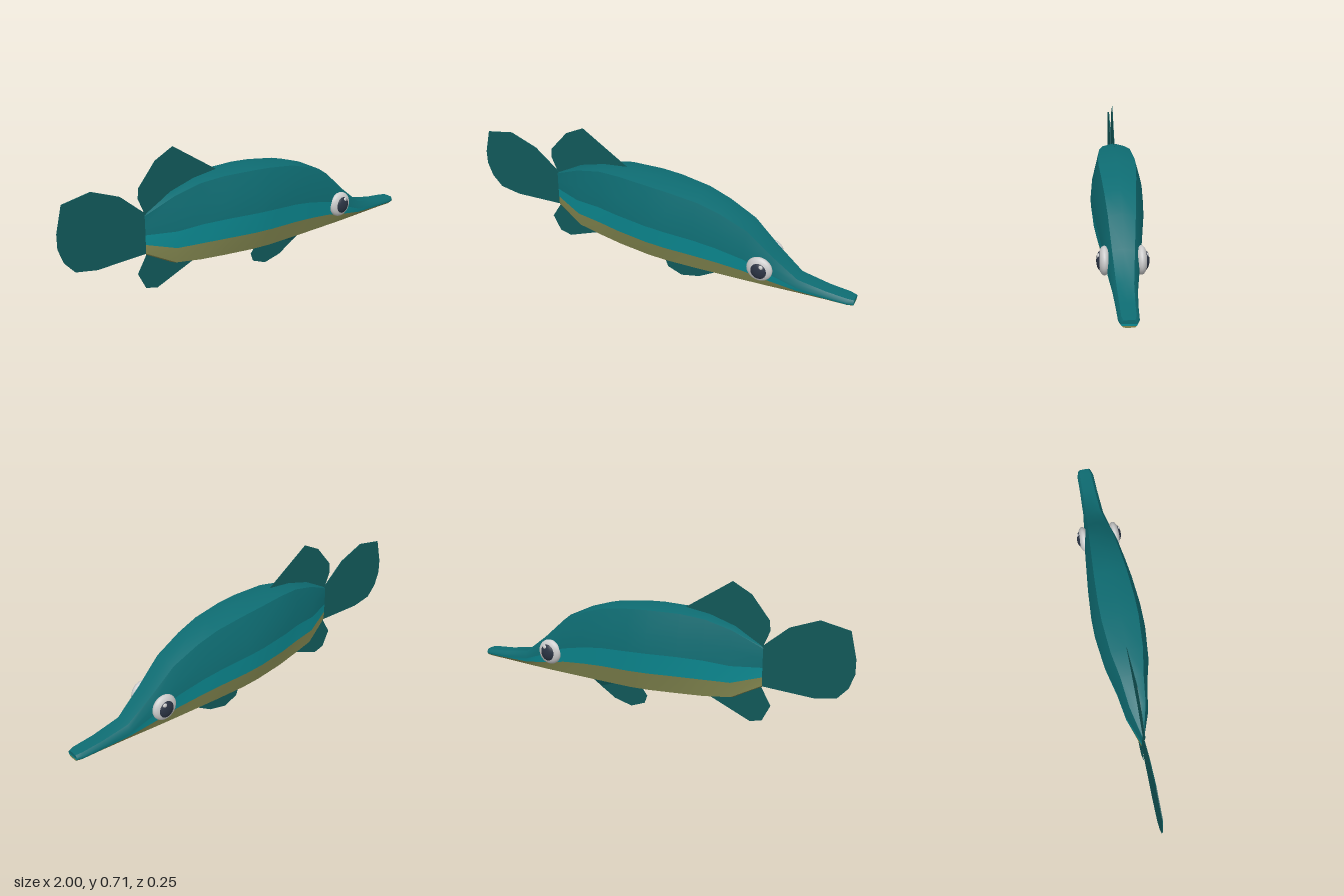
import * as THREE from 'three';

const TEAL = 0x0e6c72, BRIGHT = 0x0c8a92, OLIVE = 0x82864f, FIN = 0x11595a;

// Body stations: x, top y, bottom y, half width
const STATIONS = [
  [-0.57, 0.42, 0.225, 0.004], [-0.43, 0.5, 0.15, 0.055], [-0.3, 0.54, 0.135, 0.077],
  [-0.18, 0.557, 0.133, 0.108], [-0.02, 0.556, 0.126, 0.125], [0.08, 0.55, 0.123, 0.125],
  [0.23, 0.53, 0.123, 0.114], [0.34, 0.495, 0.123, 0.102], [0.475, 0.43, 0.124, 0.087],
  [0.6, 0.315, 0.126, 0.07], [0.73, 0.21, 0.13, 0.053], [0.87, 0.185, 0.136, 0.046],
  [0.97, 0.177, 0.139, 0.043], [1.0, 0.173, 0.14, 0.033],
];

// Half cross-section, top to bottom: fraction of half width, fraction of height
const SECTION = [[0, 1], [0.7, 0.965], [0.93, 0.72], [1, 0.49], [0.9, 0.25], [0.7, 0.035], [0, 0]];
const left = (...ids) => ids.map((i) => SECTION[i]);
const right = (...ids) => ids.reverse().map((i) => [-SECTION[i][0], SECTION[i][1]]);

// Lengthwise bands around the body; each band is smooth, with a crease at its edges
const BANDS = [
  ['back', TEAL, [...right(1), ...left(0, 1)]],
  ['leftUpperSide', TEAL, left(1, 2, 3)],
  ['rightUpperSide', TEAL, right(1, 2, 3)],
  ['leftLowerSide', BRIGHT, left(3, 4)],
  ['rightLowerSide', BRIGHT, right(3, 4)],
  ['leftBellySide', OLIVE, left(4, 5)],
  ['rightBellySide', OLIVE, right(4, 5)],
  ['underside', OLIVE, [...left(5, 6), ...right(5)]],
];

function addMesh(parent, name, geometry, color, side = THREE.FrontSide) {
  const mesh = new THREE.Mesh(geometry, new THREE.MeshStandardMaterial({ color, side }));
  mesh.name = name;
  parent.add(mesh);
  return mesh;
}

// Surface through one band of the cross-section at each station
function bandGeometry(stations, band) {
  const pos = [], index = [], n = band.length;
  stations.forEach(([x, top, bottom, w], i) => {
    for (const [z, h] of band) pos.push(x, bottom + (top - bottom) * h, z * w);
    if (i === 0) return;
    for (let j = 0; j < n - 1; j++) {
      const a = (i - 1) * n + j, c = i * n + j;
      index.push(a, a + 1, c, a + 1, c + 1, c);
    }
  });
  const g = new THREE.BufferGeometry();
  g.setAttribute('position', new THREE.Float32BufferAttribute(pos, 3));
  g.setIndex(index);
  g.computeVertexNormals();
  return g;
}

// Thin upright fin in the plane z = 0
function addFin(parent, name, points, depth) {
  const shape = new THREE.Shape(points.map(([x, y]) => new THREE.Vector2(x, y)));
  const g = new THREE.ExtrudeGeometry(shape, { depth, bevelEnabled: false });
  g.translate(0, 0, -depth / 2);
  addMesh(parent, name, g, FIN);
}

export function createModel() {
  const fish = new THREE.Group();
  fish.name = 'fish';

  // Body, closed at the snout tip
  const body = new THREE.Group();
  body.name = 'body';
  fish.add(body);
  const end = STATIONS[STATIONS.length - 1];
  const tip = [end, [end[0], end[1], end[2], 0]];
  for (const [name, color, band] of BANDS) {
    addMesh(body, name, bandGeometry(STATIONS, band), color);
    addMesh(body, name + 'Tip', bandGeometry(tip, band), color, THREE.DoubleSide);
  }

  // Fins
  addFin(fish, 'tailFin', [[-0.56, 0.42], [-0.69, 0.53], [-0.83, 0.583], [-0.97, 0.555], [-1, 0.43],
    [-1, 0.36], [-0.975, 0.29], [-0.925, 0.235], [-0.82, 0.217], [-0.56, 0.23]], 0.004);
  addFin(fish, 'dorsalFin', [[-0.17, 0.555], [-0.41, 0.71], [-0.505, 0.66], [-0.595, 0.55],
    [-0.6, 0.5], [-0.565, 0.415], [-0.43, 0.49], [-0.3, 0.53]], 0.002);
  addFin(fish, 'analFin', [[-0.56, 0.235], [-0.615, 0.14], [-0.575, 0.06], [-0.515, 0.045],
    [-0.3, 0.136], [-0.43, 0.16]], 0.002);
  addFin(fish, 'bellyFin', [[0.08, 0.13], [0.035, 0.07], [0.05, 0.03], [0.125, 0.001], [0.22, 0.025],
    [0.3, 0.075], [0.35, 0.128]], 0.002);

  // Widened leading root of the belly fin
  const root = new THREE.BufferGeometry();
  root.setAttribute('position', new THREE.Float32BufferAttribute(
    [0.3, 0.075, 0, 0.345, 0.126, 0.027, 0.15, 0.126, 0, 0.345, 0.126, -0.027], 3));
  root.setIndex([0, 1, 2, 0, 2, 3, 0, 3, 1]);
  const rootFlat = root.toNonIndexed();
  rootFlat.computeVertexNormals();
  addMesh(fish, 'bellyFinRoot', rootFlat, FIN, THREE.DoubleSide);

  // Eyes: flattened white, dark pupil, small highlight
  for (const s of [1, -1]) {
    const eye = new THREE.Group();
    eye.name = s > 0 ? 'leftEye' : 'rightEye';
    eye.position.set(0.555, 0.243, s * 0.08);
    fish.add(eye);
    const ball = (name, r, color, x, y, z, sx, sy, sz) => {
      const m = addMesh(eye, name, new THREE.SphereGeometry(r, 24, 16), color);
      m.position.set(x, y, s * z);
      m.scale.set(sx, sy, sz);
    };
    ball('eyeWhite', 0.064, 0xcccccc, 0, 0, 0, 1, 1, 0.44);
    ball('pupil', 0.044, 0x2b3444, 0.002, 0, 0.014, 0.95, 1.02, 0.48);
    ball('highlight', 0.011, 0xdddddd, 0.014, 0.028, 0.026, 1, 1, 0.6);
  }
  return fish;
}
